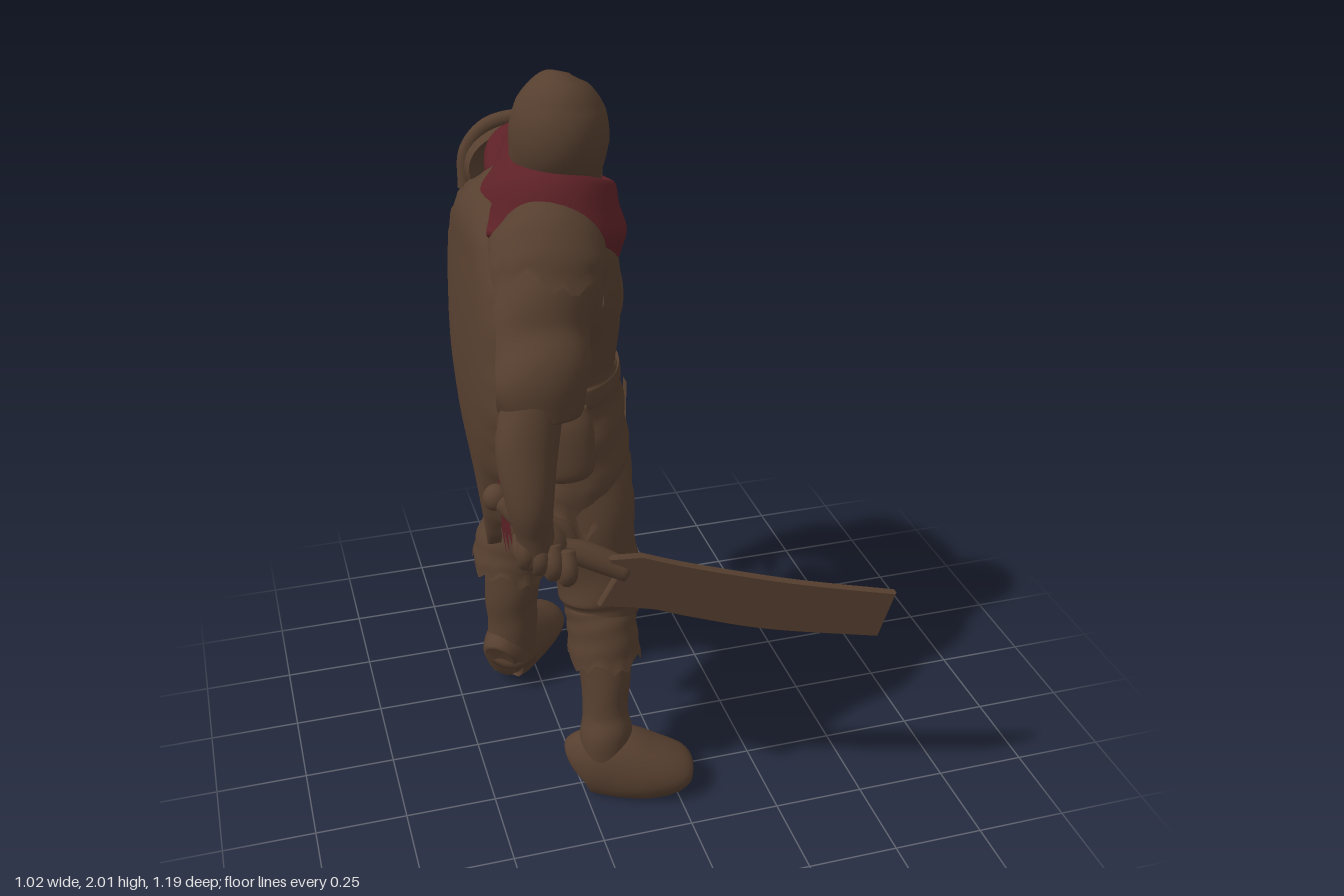
import * as THREE from 'three';
import { toCreasedNormals } from 'three/addons/utils/BufferGeometryUtils.js';

const brown = new THREE.MeshStandardMaterial({ color: 0x563f2f, side: THREE.DoubleSide });
brown.name = 'worn brown';
const red = new THREE.MeshStandardMaterial({ color: 0x5c2126, side: THREE.DoubleSide });
red.name = 'dark red cloth';

const V = (x, y, z) => new THREE.Vector3(x, y, z);

// Uneven torn edge, from -1 to 1 around an angle
const jag = a => 0.5 * Math.sin(a * 5 + 1) + 0.3 * Math.sin(a * 11 + 2) + 0.2 * Math.sin(a * 17);

// Smooth elliptical body through [x, y, z, radiusA, radiusB] stations.
// ref: direction of radiusA; fold: wrinkle depth; hem: ragged end length; floor: flat sole height
function limb(stations, { ref = V(1, 0, 0), fold = 0, hem = 0, open = false, floor = -1, sides = 40 } = {}) {
  const centre = new THREE.CatmullRomCurve3(stations.map(s => V(s[0], s[1], s[2])), false, 'catmullrom');
  const radii = new THREE.CatmullRomCurve3(stations.map(s => V(s[3], s[4] ?? s[3], 0)), false, 'catmullrom');
  const rows = (stations.length - 1) * 7;
  const pos = [], idx = [];
  for (let i = 0; i <= rows; i++) {
    const v = i / rows, c = centre.getPoint(v), r = radii.getPoint(v), t = centre.getTangent(v);
    const s = ref.clone().addScaledVector(t, -ref.dot(t)).normalize();
    const o = t.clone().cross(s);
    for (let j = 0; j < sides; j++) {
      const a = j / sides * Math.PI * 2;
      const k = 1 + fold * (Math.sin(v * 19 + 2 * Math.sin(a + 1)) + 0.6 * Math.sin(3 * a + v * 8));
      const p = c.clone().addScaledVector(s, r.x * k * Math.cos(a)).addScaledVector(o, r.y * k * Math.sin(a));
      p.addScaledVector(t, hem * jag(a) * Math.max(0, (v - 0.6) / 0.4));
      pos.push(p.x, Math.max(floor, p.y), p.z);
    }
  }
  for (let i = 0; i < rows; i++) for (let j = 0; j < sides; j++) {
    const a = i * sides + j, b = i * sides + (j + 1) % sides;
    idx.push(a, b, a + sides, b, b + sides, a + sides);
  }
  if (!open) for (const [row, v, flip] of [[0, 0, true], [rows, 1, false]]) {
    const c = centre.getPoint(v), n = pos.length / 3;
    pos.push(c.x, Math.max(floor, c.y), c.z);
    for (let j = 0; j < sides; j++) {
      const a = row * sides + j, b = row * sides + (j + 1) % sides;
      idx.push(n, flip ? b : a, flip ? a : b);
    }
  }
  const g = new THREE.BufferGeometry();
  g.setAttribute('position', new THREE.Float32BufferAttribute(pos, 3));
  g.setIndex(idx);
  g.computeVertexNormals();
  return g;
}

// Hanging cloth from a [z, y] outline, curved by x = depth(z, y)
function flap(outline, depth) {
  const g = new THREE.ShapeGeometry(new THREE.Shape(outline.map(([z, y]) => new THREE.Vector2(-z, y))));
  g.rotateY(Math.PI / 2);
  const p = g.attributes.position;
  for (let i = 0; i < p.count; i++) p.setX(i, depth(p.getZ(i), p.getY(i)));
  g.computeVertexNormals();
  return g;
}

export function createModel() {
  const model = new THREE.Group();
  model.name = 'ragged swordsman';
  const add = (name, geometry, material = brown) => {
    const m = new THREE.Mesh(geometry, material);
    m.name = name;
    model.add(m);
    return m;
  };
  const ball = (name, x, y, z, rx, ry, rz, material = brown) => {
    const m = add(name, new THREE.SphereGeometry(1, 24, 16), material);
    m.position.set(x, y, z);
    m.scale.set(rx, ry, rz);
  };
  const up = V(0, 1, 0);

  // Head and face
  add('head', limb([[-0.25, 1.6, 0, 0.11, 0.09], [-0.235, 1.7, 0, 0.11, 0.085], [-0.225, 1.78, 0.025, 0.118, 0.115],
    [-0.222, 1.86, 0.05, 0.122, 0.137], [-0.22, 1.93, 0.052, 0.105, 0.118], [-0.215, 1.98, 0.045, 0.065, 0.075], [-0.21, 1.998, 0.04, 0.02]]));
  ball('brow', -0.135, 1.86, 0.04, 0.036, 0.022, 0.08);
  add('nose', limb([[-0.115, 1.86, 0.035, 0.012], [-0.107, 1.82, 0.03, 0.017], [-0.107, 1.79, 0.03, 0.01]], { sides: 16 }));
  ball('jaw', -0.15, 1.735, 0.01, 0.045, 0.045, 0.06);

  // Red scarf, lower at the front, bunched up at the left of the neck
  add('scarf', limb([[-0.21, 1.77, -0.02, 0.105, 0.11], [-0.222, 1.74, -0.02, 0.145, 0.16], [-0.238, 1.675, 0, 0.18, 0.215],
    [-0.252, 1.6, 0.01, 0.2, 0.225], [-0.256, 1.585, 0.01, 0.18, 0.205]], { fold: 0.02, open: true, hem: 0.015 }), red);
  add('scarfRoll', limb([[-0.35, 1.7, 0.05, 0.03], [-0.34, 1.74, -0.06, 0.045, 0.05], [-0.29, 1.765, -0.15, 0.055, 0.065],
    [-0.2, 1.755, -0.175, 0.06, 0.06], [-0.13, 1.71, -0.15, 0.05], [-0.1, 1.66, -0.1, 0.03]], { ref: up, sides: 24 }), red);

  // Torso, belt and skirt
  add('tunic', limb([[-0.24, 1, 0, 0.165, 0.22], [-0.25, 1.2, -0.01, 0.17, 0.225], [-0.25, 1.36, 0, 0.178, 0.24],
    [-0.26, 1.5, 0.01, 0.188, 0.27], [-0.26, 1.6, 0, 0.165, 0.25], [-0.25, 1.67, 0, 0.12, 0.15], [-0.25, 1.72, 0, 0.07, 0.08]], { fold: 0.012 }));
  add('belt', limb([[-0.248, 1.17, -0.01, 0.175, 0.23], [-0.248, 1.18, -0.01, 0.182, 0.238], [-0.25, 1.22, -0.01, 0.181, 0.237],
    [-0.25, 1.23, -0.01, 0.172, 0.228]], { open: true }));
  add('skirt', limb([[-0.245, 1.2, -0.01, 0.175, 0.23], [-0.24, 1.06, -0.025, 0.19, 0.28], [-0.235, 0.91, -0.05, 0.198, 0.335]],
    { fold: 0.018, hem: 0.06, open: true, sides: 90 }));
  add('hipPouch', limb([[-0.27, 1.19, 0.225, 0.06, 0.025], [-0.27, 1.13, 0.24, 0.075, 0.04], [-0.27, 1.03, 0.26, 0.07, 0.035], [-0.27, 1.01, 0.26, 0.05, 0.02]]));
  add('chestStrap', limb([[-0.2, 1.38, 0.19, 0.03, 0.01], [-0.1, 1.4, 0.12, 0.03, 0.012], [-0.074, 1.46, 0, 0.03, 0.012],
    [-0.11, 1.53, -0.14, 0.03, 0.012], [-0.2, 1.6, -0.22, 0.03, 0.01]], { ref: up, sides: 20 }));

  // Front and back hanging cloths
  add('frontCloth', flap([[-0.06, 1.09], [-0.11, 1.12], [-0.15, 1.02], [-0.22, 0.98], [-0.25, 0.86], [-0.22, 0.8], [-0.21, 0.72],
    [-0.17, 0.75], [-0.13, 0.63], [-0.1, 0.68], [-0.07, 0.67], [-0.06, 0.74], [-0.04, 0.75]],
  (z, y) => -0.038 - 1.7 * (z + 0.08) ** 2 - 0.12 * Math.max(0, 0.85 - y)), red);
  add('frontClothTrim', flap([[-0.03, 1.11], [-0.065, 1.11], [-0.06, 0.76], [-0.045, 0.73], [-0.03, 0.78]],
    (z, y) => -0.032 - 0.12 * Math.max(0, 0.85 - y)));
  add('backCloth', flap([[0.23, 1.05], [0.05, 1.05], [0.06, 0.78], [0.08, 0.69], [0.11, 0.78], [0.15, 0.74], [0.19, 0.83], [0.23, 0.8]],
    (z, y) => -0.43 + 0.1 * Math.max(0, 0.95 - y)), red);

  // Torn cape down the back: rows of [y, zMin, zMax, x]
  const capeRows = [[1.77, -0.07, 0.04, -0.36], [1.68, -0.14, 0.13, -0.455], [1.55, -0.28, 0.31, -0.483], [1.33, -0.24, 0.38, -0.503],
    [1.15, -0.13, 0.34, -0.503], [0.95, -0.03, 0.22, -0.48], [0.73, 0.05, 0.09, -0.455]];
  const cape = new THREE.PlaneGeometry(1, 1, 24, 50), cp = cape.attributes.position;
  const lefts = new THREE.CatmullRomCurve3(capeRows.map(r => V(r[3], r[0], r[1])));
  const rights = new THREE.CatmullRomCurve3(capeRows.map(r => V(r[3], r[0], r[2])));
  for (let i = 0; i < cp.count; i++) {
    const u = cp.getX(i) + 0.5, v = 0.5 - cp.getY(i), s = 2 * u - 1;
    const p = lefts.getPoint(v).lerp(rights.getPoint(v), u);
    const fray = 0.018 * jag(v * 7) * s ** 3;
    cp.setXYZ(i, p.x + 0.035 * s * s + 0.003 * Math.sin(u * 11 + v * 3), p.y, p.z + fray);
  }
  cape.computeVertexNormals();
  add('cape', cape);

  // Sword arm
  add('rightSleeve', limb([[-0.27, 1.62, 0.14, 0.1], [-0.3, 1.55, 0.21, 0.13, 0.105], [-0.33, 1.43, 0.27, 0.125, 0.1],
    [-0.35, 1.33, 0.33, 0.12, 0.1], [-0.36, 1.25, 0.335, 0.105, 0.09]], { fold: 0.035 }));
  add('rightShoulderCloth', limb([[-0.26, 1.67, 0.12, 0.09], [-0.285, 1.61, 0.185, 0.145, 0.11], [-0.31, 1.52, 0.23, 0.145, 0.115]],
    { fold: 0.015, hem: 0.035, open: true }));
  add('rightForearm', limb([[-0.37, 1.3, 0.35, 0.075], [-0.4, 1.18, 0.385, 0.078, 0.068], [-0.405, 1.05, 0.42, 0.06],
    [-0.395, 0.96, 0.415, 0.048], [-0.385, 0.9, 0.4, 0.055]]));
  ball('rightPalm', -0.38, 0.9, 0.4, 0.07, 0.065, 0.055);
  for (let i = 0; i < 4; i++) {
    const x = -0.42 + i * 0.033, y = 0.925 - i * 0.015, z = 0.36 + i * 0.012;
    add('rightFinger', limb([[x, y + 0.03, z + 0.05, 0.02], [x, y - 0.02, z + 0.07, 0.023], [x, y - 0.06, z + 0.04, 0.022],
      [x, y - 0.055, z - 0.01, 0.02], [x, y - 0.02, z - 0.03, 0.014]], { sides: 12 }));
  }
  add('rightThumb', limb([[-0.36, 0.95, 0.37, 0.024], [-0.31, 0.92, 0.37, 0.023], [-0.285, 0.875, 0.385, 0.014]], { ref: up, sides: 12 }));

  // Broad blade with handle
  add('swordHandle', limb([[-0.46, 1, 0.3, 0.026], [-0.36, 0.905, 0.385, 0.027], [-0.26, 0.86, 0.405, 0.034], [-0.16, 0.81, 0.43, 0.03]],
    { ref: up, sides: 20 }));
  ball('pommel', -0.465, 1, 0.295, 0.034, 0.036, 0.032);
  const outline = new THREE.Shape();
  outline.moveTo(-0.23, 0.71);
  outline.splineThru([[-0.1, 0.695], [0, 0.665], [0.2, 0.615], [0.48, 0.58]].map(p => new THREE.Vector2(...p)));
  outline.lineTo(0.51, 0.72);
  outline.splineThru([[0.25, 0.765], [0, 0.825], [-0.13, 0.865]].map(p => new THREE.Vector2(...p)));
  outline.lineTo(-0.21, 0.86);
  outline.lineTo(-0.19, 0.8);
  const blade = new THREE.ExtrudeGeometry(outline, { depth: 0.015, bevelEnabled: true, bevelSize: 0.004, bevelThickness: 0.005, bevelSegments: 1 });
  const bp = blade.attributes.position;
  for (let i = 0; i < bp.count; i++) bp.setZ(i, bp.getZ(i) + 0.455 + 0.235 * bp.getX(i) + 0.13 * (bp.getY(i) - 0.7));
  add('swordBlade', toCreasedNormals(blade, 0.5));

  // Free arm
  add('leftSleeve', limb([[-0.25, 1.63, -0.2, 0.11], [-0.225, 1.53, -0.3, 0.115, 0.1], [-0.2, 1.43, -0.39, 0.105, 0.09],
    [-0.185, 1.34, -0.46, 0.1, 0.105], [-0.175, 1.22, -0.495, 0.085, 0.08]], { fold: 0.035 }));
  add('leftForearm', limb([[-0.185, 1.28, -0.49, 0.075], [-0.165, 1.17, -0.525, 0.07, 0.065], [-0.135, 1.05, -0.55, 0.05, 0.045],
    [-0.115, 0.98, -0.555, 0.05, 0.04], [-0.1, 0.91, -0.55, 0.055, 0.035], [-0.1, 0.88, -0.54, 0.04, 0.02]]));
  for (let i = 0; i < 4; i++) {
    const x = -0.145 + i * 0.03, d = i === 0 ? 0.03 : 0;
    add('leftFinger', limb([[x, 0.92, -0.56, 0.02], [x, 0.86 + d, -0.55, 0.019], [x, 0.82 + d, -0.51, 0.017], [x, 0.81 + d, -0.475, 0.011]], { sides: 12 }));
  }
  add('leftThumb', limb([[-0.095, 0.97, -0.53, 0.022], [-0.07, 0.92, -0.47, 0.022], [-0.065, 0.88, -0.425, 0.012]], { sides: 12 }));

  // Shoulder armour with raised collar rim
  add('pauldron', limb([[-0.245, 1.69, -0.19, 0.16, 0.1], [-0.24, 1.675, -0.26, 0.165, 0.12], [-0.22, 1.625, -0.34, 0.145, 0.12],
    [-0.195, 1.575, -0.395, 0.12, 0.11], [-0.18, 1.535, -0.425, 0.1, 0.085]], { open: true, hem: 0.02 }));
  const rim = new THREE.CatmullRomCurve3([V(-0.405, 1.62, -0.27), V(-0.395, 1.72, -0.28), V(-0.34, 1.785, -0.27), V(-0.24, 1.805, -0.25),
    V(-0.14, 1.77, -0.22), V(-0.09, 1.7, -0.19), V(-0.085, 1.62, -0.18)]);
  add('pauldronRim', new THREE.TubeGeometry(rim, 40, 0.02, 10));

  // Baggy trousers, torn cuffs, boots
  add('rightTrouser', limb([[-0.24, 1.04, 0.09, 0.13], [-0.21, 0.88, 0.135, 0.14, 0.13], [-0.18, 0.72, 0.16, 0.12, 0.125],
    [-0.165, 0.6, 0.17, 0.118, 0.125], [-0.17, 0.53, 0.185, 0.095, 0.105]], { fold: 0.03 }));
  add('leftTrouser', limb([[-0.25, 1.04, -0.1, 0.13], [-0.25, 0.88, -0.18, 0.14, 0.135], [-0.25, 0.72, -0.25, 0.125, 0.13],
    [-0.265, 0.6, -0.295, 0.122, 0.135], [-0.28, 0.53, -0.3, 0.1, 0.105]], { fold: 0.03 }));
  ball('rightKneePad', -0.095, 0.61, 0.18, 0.045, 0.06, 0.08);
  ball('leftKneePad', -0.18, 0.61, -0.31, 0.045, 0.06, 0.08);
  ball('rightKneePatch', -0.052, 0.605, 0.18, 0.005, 0.014, 0.016, red);
  add('rightCuff', limb([[-0.17, 0.56, 0.18, 0.1, 0.105], [-0.17, 0.5, 0.2, 0.095, 0.11], [-0.17, 0.41, 0.215, 0.1, 0.117]],
    { fold: 0.015, hem: 0.025, open: true, sides: 60 }));
  add('leftCuff', limb([[-0.28, 0.57, -0.295, 0.105, 0.105], [-0.305, 0.5, -0.298, 0.115, 0.115], [-0.32, 0.42, -0.3, 0.12, 0.128]],
    { fold: 0.015, hem: 0.03, open: true, sides: 60 }));
  add('rightBootShaft', limb([[-0.17, 0.54, 0.19, 0.075], [-0.17, 0.38, 0.22, 0.072, 0.08], [-0.175, 0.25, 0.25, 0.063, 0.07],
    [-0.18, 0.18, 0.265, 0.073, 0.08], [-0.185, 0.07, 0.27, 0.07, 0.078]], { fold: 0.02 }));
  add('leftBootShaft', limb([[-0.3, 0.54, -0.3, 0.085], [-0.32, 0.36, -0.295, 0.083, 0.088], [-0.325, 0.22, -0.295, 0.075, 0.078],
    [-0.33, 0.09, -0.3, 0.077, 0.083]], { fold: 0.02 }));
  add('rightBoot', limb([[-0.25, 0.07, 0.245, 0.07, 0.045], [-0.23, 0.08, 0.255, 0.1, 0.07], [-0.16, 0.085, 0.28, 0.115, 0.085],
    [-0.07, 0.07, 0.31, 0.095, 0.093], [0.01, 0.06, 0.33, 0.065, 0.08], [0.043, 0.05, 0.335, 0.035, 0.05]], { ref: up, floor: 0 }));
  add('leftBoot', limb([[-0.375, 0.1, -0.245, 0.07, 0.045], [-0.36, 0.11, -0.265, 0.1, 0.07], [-0.32, 0.115, -0.315, 0.11, 0.083],
    [-0.255, 0.1, -0.395, 0.088, 0.09], [-0.2, 0.09, -0.46, 0.063, 0.08], [-0.175, 0.08, -0.495, 0.035, 0.045]], { ref: up, floor: 0.03 }));

  return model;
}
